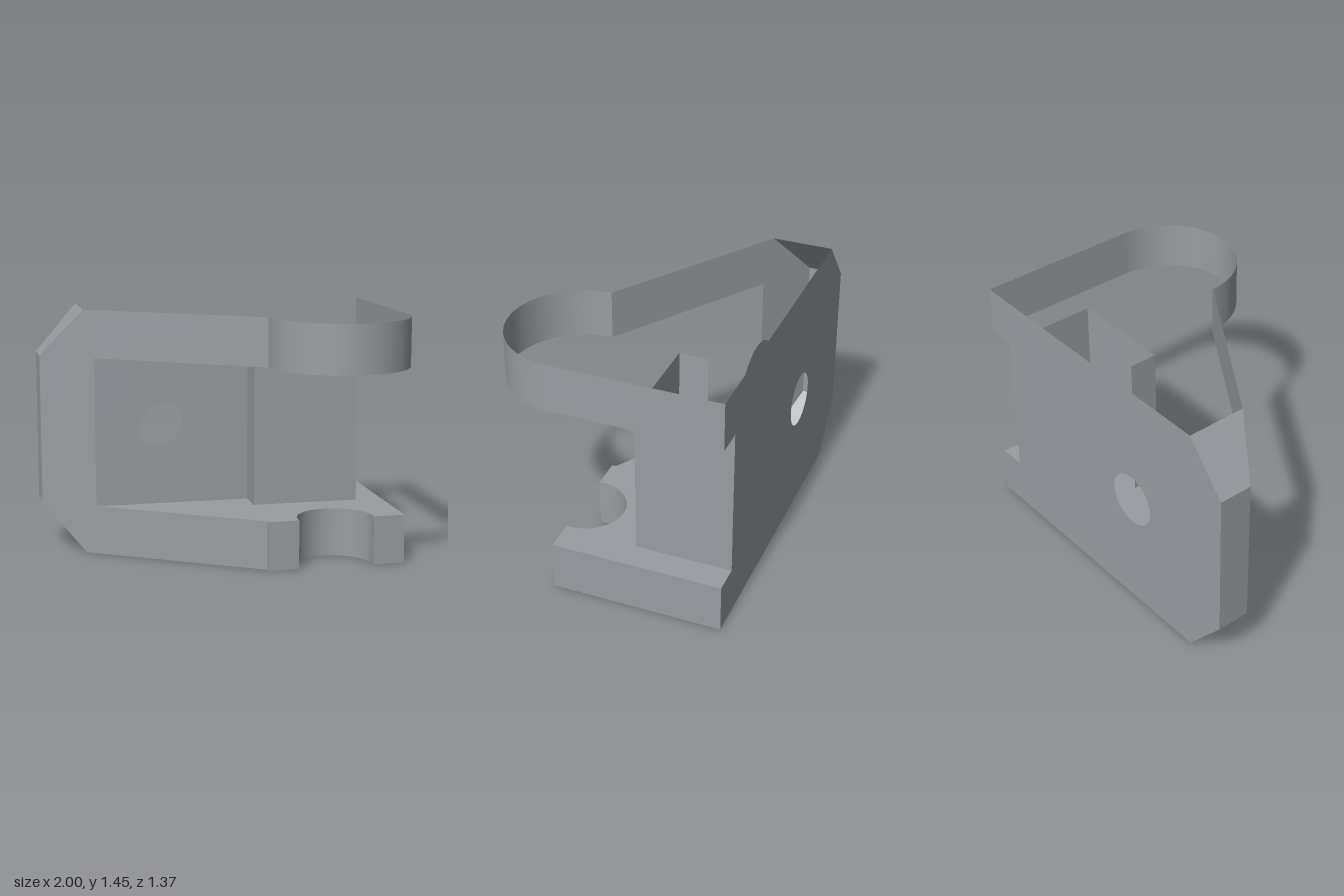
import * as THREE from 'three';

export function createModel() {
  const model = new THREE.Group();
  const grey = new THREE.MeshStandardMaterial({ color: 0x999ca1, side: THREE.DoubleSide });
  grey.name = 'machined grey';

  // Main levels and positions
  const H = 1.445, LOW = 0.285, HIGH = 1.165, BACK = -0.685;
  const L = -1, R = 1, CH = -0.76, LUG = 0.19, FRONT = 0.3;
  const RECESS = -0.3, BLOCK = -0.13, BX0 = 0.21, BX1 = 0.84, IN = -0.704;
  const SLOPE = 0.645;
  const slantZ = x => -0.49 + (x - L) * SLOPE;
  const hole = { x: -0.267, y: 0.713, r: 0.156, R: 0.295 };
  const notch = { x: 0.593, z: 0.275, r: 0.222 };

  function add(name, geometry) {
    const mesh = new THREE.Mesh(geometry, grey);
    mesh.name = name;
    model.add(mesh);
    return mesh;
  }
  const outline = pts => new THREE.Shape(pts.map(p => new THREE.Vector2(...p)));

  // Flat sheet: a 2D shape laid on the plane spanned by u and v
  function sheet(name, shape, origin, u, v) {
    const U = new THREE.Vector3(...u), V = new THREE.Vector3(...v);
    const m = new THREE.Matrix4().makeBasis(U, V, U.clone().cross(V).normalize());
    m.setPosition(...origin);
    const g = new THREE.ShapeGeometry(shape, 48).applyMatrix4(m);
    g.computeVertexNormals();
    add(name, g);
  }
  // Four-cornered face, corners counter-clockwise from outside
  function quad(name, ...corners) {
    const g = new THREE.BufferGeometry();
    g.setAttribute('position', new THREE.Float32BufferAttribute(corners.flat(), 3));
    g.setIndex([0, 1, 2, 0, 2, 3]);
    g.computeVertexNormals();
    add(name, g);
  }
  // Upright wall between two plan points
  const wall = (name, [x0, z0], [x1, z1], y0, y1) =>
    quad(name, [x0, y0, z0], [x1, y0, z1], [x1, y1, z1], [x0, y1, z0]);
  // Upright curved wall
  function arcWall(name, x, z, r, start, y0, y1) {
    const g = new THREE.CylinderGeometry(r, r, y1 - y0, 48, 1, true, start, Math.PI);
    add(name, g).position.set(x, (y0 + y1) / 2, z);
  }

  // Back plate with the bore
  const back = outline([
    [-R, 0], [-R, LOW], [-BX1, LOW], [-BX1, HIGH], [-R, HIGH], [-R, H],
    [-CH, H], [-L, HIGH], [-L, LOW], [-CH, 0],
  ]);
  back.holes.push(new THREE.Path().absarc(-hole.x, hole.y, hole.r, 0, Math.PI * 2, true));
  sheet('backPlate', back, [0, 0, BACK], [-1, 0, 0], [0, 1, 0]);

  // Counterbore seat
  add('boreSeat', new THREE.RingGeometry(hole.r, hole.R, 64)).position.set(hole.x, hole.y, -0.42);

  // Slanted C-shaped side
  sheet('slantedSide', outline([
    [L, LOW], [CH, 0], [LUG, 0], [LUG, LOW], [IN, LOW], [IN, HIGH],
    [LUG, HIGH], [LUG, H], [CH, H], [L, HIGH],
  ]), [0, 0, slantZ(0)], [1, 0, SLOPE], [0, 1, 0]);

  // Left edge and its two chamfers
  const zl = slantZ(L), zc = slantZ(CH);
  wall('leftEdge', [L, BACK], [L, zl], LOW, HIGH);
  quad('upperChamfer', [L, HIGH, BACK], [L, HIGH, zl], [CH, H, zc], [CH, H, BACK]);
  quad('lowerChamfer', [CH, 0, BACK], [CH, 0, zc], [L, LOW, zl], [L, LOW, BACK]);

  // Front edge of the base with its round notch, in plan coordinates (x, z)
  function traceFront(shape, s) {
    shape.lineTo(LUG, s * slantZ(LUG));
    shape.lineTo(LUG, s * FRONT);
    shape.lineTo(notch.x - notch.r, s * FRONT);
    for (let i = 0; i <= 32; i++) {
      const a = Math.PI * (1 - i / 32);
      shape.lineTo(notch.x + notch.r * Math.cos(a), s * (notch.z - notch.r * Math.sin(a)));
    }
    shape.lineTo(notch.x + notch.r, s * FRONT);
    shape.lineTo(R, s * FRONT);
    shape.lineTo(R, s * BACK);
  }
  const bottom = new THREE.Shape().moveTo(CH, BACK);
  bottom.lineTo(CH, zc);
  traceFront(bottom, 1);
  sheet('baseBottom', bottom, [0, 0, 0], [1, 0, 0], [0, 0, 1]);

  const ledge = new THREE.Shape().moveTo(IN, -RECESS);
  traceFront(ledge, -1);
  for (const [x, z] of [[BX1, BACK], [BX1, BLOCK], [BX0, BLOCK], [BX0, RECESS]]) ledge.lineTo(x, -z);
  sheet('baseLedge', ledge, [0, LOW, 0], [1, 0, 0], [0, 0, -1]);

  // Base walls
  const n0 = notch.x - notch.r, n1 = notch.x + notch.r;
  wall('baseStep', [LUG, slantZ(LUG)], [LUG, FRONT], 0, LOW);
  wall('baseFrontLeft', [n1, FRONT], [R, FRONT], 0, LOW);
  wall('baseFrontRight', [LUG, FRONT], [n0, FRONT], 0, LOW);
  wall('notchSide', [n0, FRONT], [n0, notch.z], 0, LOW);
  wall('notchSide', [n1, notch.z], [n1, FRONT], 0, LOW);
  arcWall('notchArc', notch.x, notch.z, notch.r, Math.PI / 2, 0, LOW);
  wall('baseSide', [R, FRONT], [R, BACK], 0, LOW);

  // Upright block between base and upper band
  wall('blockInnerSide', [BX0, RECESS], [BX0, BLOCK], LOW, HIGH);
  wall('blockFront', [BX0, BLOCK], [BX1, BLOCK], LOW, HIGH);
  wall('blockOuterSide', [BX1, BLOCK], [BX1, BACK], LOW, HIGH);

  // Open upper band with rounded lug
  const lugR = (R - LUG) / 2;
  wall('bandSide', [R, slantZ(LUG)], [R, BACK], HIGH, H);
  arcWall('bandLug', LUG + lugR, slantZ(LUG), lugR, -Math.PI / 2, HIGH, H);

  return model;
}
